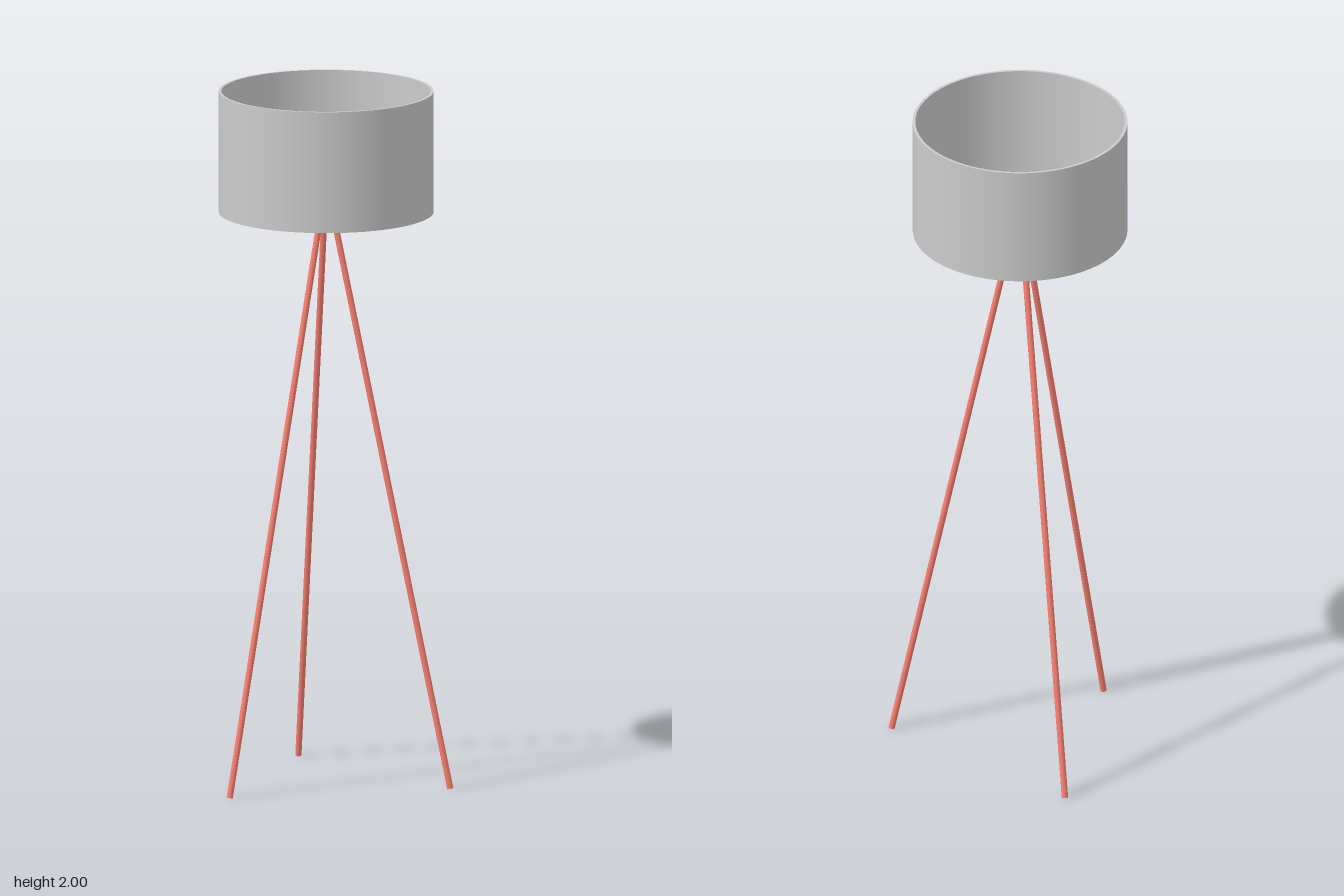
import * as THREE from 'three';

const grey = new THREE.MeshStandardMaterial({ color: 0xcccccc });
const salmon = new THREE.MeshStandardMaterial({ color: 0xfa8072 });
const orange = new THREE.MeshStandardMaterial({ color: 0xff8040 });

// Rod between two points
function rod(name, a, b, radius, material, sides = 16) {
  const dir = new THREE.Vector3().subVectors(b, a);
  const mesh = new THREE.Mesh(new THREE.CylinderGeometry(radius, radius, dir.length(), sides), material);
  mesh.position.copy(a).add(b).multiplyScalar(0.5);
  mesh.quaternion.setFromUnitVectors(new THREE.Vector3(0, 1, 0), dir.normalize());
  mesh.name = name;
  return mesh;
}

// Upright round part
function round(name, rTop, rBottom, y0, y1, material) {
  const mesh = new THREE.Mesh(new THREE.CylinderGeometry(rTop, rBottom, y1 - y0, 32), material);
  mesh.position.y = (y0 + y1) / 2;
  mesh.name = name;
  return mesh;
}

// Point at a heading around the lamp's axis (0 = front)
const polar = (angle, r, y) => new THREE.Vector3(Math.sin(angle) * r, y, Math.cos(angle) * r);

export function createModel() {
  const lamp = new THREE.Group();
  lamp.name = 'tripodFloorLamp';

  // Drum shade: an open tube with a thin wall
  const wall = new THREE.Shape().absarc(0, 0, 0.305, 0, Math.PI * 2);
  wall.holes.push(new THREE.Path().absarc(0, 0, 0.297, 0, Math.PI * 2, true));
  const shadeGeometry = new THREE.ExtrudeGeometry(wall, { depth: 0.35, bevelEnabled: false, curveSegments: 64 });
  shadeGeometry.rotateX(-Math.PI / 2);
  // Radial normals keep the drum smooth
  const pos = shadeGeometry.attributes.position, nor = shadeGeometry.attributes.normal;
  for (let i = 0; i < pos.count; i++) {
    if (Math.abs(nor.getY(i)) > 0.5) continue;
    const r = Math.hypot(pos.getX(i), pos.getZ(i)), s = r > 0.301 ? 1 / r : -1 / r;
    nor.setXYZ(i, pos.getX(i) * s, 0, pos.getZ(i) * s);
  }
  const shade = new THREE.Mesh(shadeGeometry, grey);
  shade.position.y = 1.65;
  shade.name = 'shade';
  lamp.add(shade);

  // Three legs, and three spokes placed between them
  for (let i = 0; i < 3; i++) {
    const spokeAngle = (i * Math.PI * 2) / 3;
    const legAngle = spokeAngle + Math.PI;
    lamp.add(rod('leg', polar(legAngle, 0.37, 0.002), polar(legAngle, 0.024, 1.63), 0.009, salmon));
    lamp.add(rod('shadeSpoke', polar(spokeAngle, 0.3, 1.655), polar(spokeAngle, 0.03, 1.69), 0.003, grey, 8));
  }

  // Hub, socket and bulb
  lamp.add(round('legPlate', 0.032, 0.032, 1.622, 1.632, salmon));
  lamp.add(round('hubNeck', 0.022, 0.022, 1.632, 1.643, salmon));
  lamp.add(round('hub', 0.042, 0.03, 1.643, 1.688, salmon));
  lamp.add(round('spokeRing', 0.046, 0.046, 1.686, 1.696, grey));
  lamp.add(round('socket', 0.018, 0.026, 1.696, 1.755, grey));
  const bulb = new THREE.Mesh(new THREE.SphereGeometry(0.033, 32, 20), orange);
  bulb.position.y = 1.78;
  bulb.name = 'bulb';
  lamp.add(bulb);

  // The lamp's axis sits slightly forward of the centre
  lamp.position.z = 0.035;
  const model = new THREE.Group();
  model.name = 'floorLamp';
  model.add(lamp);
  return model;
}
